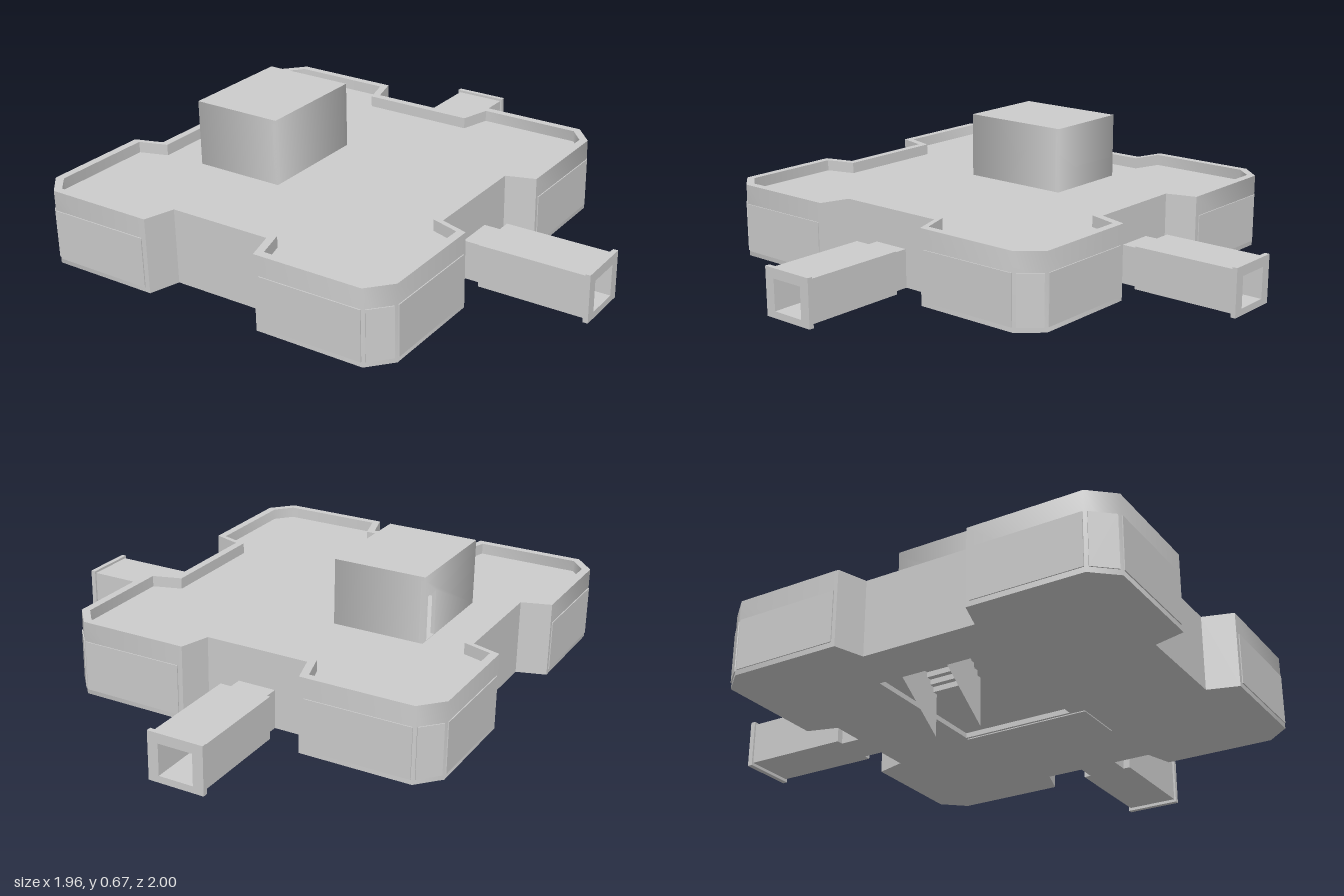
import * as THREE from 'three';
import { toCreasedNormals, mergeGeometries } from 'three/addons/utils/BufferGeometryUtils.js';

const CX = -0.21, CZ = 0.205;      // centre of the building
const HX = 0.77, HZ = 0.795;       // half width and half depth
const BASE = 0.15, TOP = 0.45, ROOF = 0.405;

const grey = new THREE.MeshStandardMaterial({ color: 0xcccccc });
const greyThin = new THREE.MeshStandardMaterial({ color: 0xcccccc, side: THREE.DoubleSide });

function add(parent, name, geometry, x = 0, y = 0, z = 0, material = grey) {
  const mesh = new THREE.Mesh(geometry, material);
  mesh.name = name;
  mesh.position.set(x, y, z);
  parent.add(mesh);
  return mesh;
}

// Box given by its limits on each axis
function block(parent, name, x0, x1, y0, y1, z0, z1) {
  return add(parent, name, new THREE.BoxGeometry(x1 - x0, y1 - y0, z1 - z0),
    (x0 + x1) / 2, (y0 + y1) / 2, (z0 + z1) / 2);
}

// Four-lobed plan with chamfered corners, mirrored from one quarter, counter-clockwise
function outline(t) {
  const k = t * 0.35;
  const quarter = [
    [HX - 0.115 - t, 0.228 + k], [HX - t, 0.265 + k], [HX - t, 0.705 - k],
    [0.69 - k, HZ - t], [0.245 + k * 2, HZ - t], [0.21 + k * 2, HZ - 0.12 - t],
  ];
  const points = [];
  for (const [sx, sy] of [[1, 1], [-1, 1], [-1, -1], [1, -1]]) {
    const part = sx * sy > 0 ? quarter : [...quarter].reverse();
    for (const [x, y] of part) points.push(new THREE.Vector2(x * sx, y * sy));
  }
  return points;
}

function rectangle(x0, x1, y0, y1) {
  return [[x0, y0], [x1, y0], [x1, y1], [x0, y1]].map(([x, y]) => new THREE.Vector2(x, y));
}

function extrude(points, holes, depth) {
  const shape = new THREE.Shape(points);
  for (const hole of holes) shape.holes.push(new THREE.Path(hole));
  return new THREE.ExtrudeGeometry(shape, { depth, bevelEnabled: false });
}

function slab(points, holes, height) {
  return extrude(points, holes, height).rotateX(-Math.PI / 2);
}

// Hollow corridor running along +z from the building wall (z = 0)
function corridor(name, length) {
  const group = new THREE.Group();
  group.name = name;
  const opening = rectangle(-0.07, 0.07, 0.165, 0.29);
  const tube = (part, w, y0, y1, z0, z1) =>
    add(group, part, extrude(rectangle(-w, w, y0, y1), [opening], z1 - z0), 0, 0, z0);
  tube('corridorNeck', 0.077, 0.15, 0.305, 0, 0.08);
  tube('corridorTube', 0.105, 0.15, 0.32, 0.08, length - 0.02);
  tube('corridorCollar', 0.113, 0.138, 0.33, length - 0.02, length);
  return group;
}

// Rooftop house with a small doorway in its -x wall and softened upright corners
function towerGeometry() {
  const hx = 0.187, hz = 0.232, h = 0.67 - ROOF, t = 0.015;
  const box = (w, hh, d, x, y, z) =>
    new THREE.BoxGeometry(w, hh, d).translate(x, y, z).toNonIndexed();
  const doorWall = extrude(rectangle(-hz, hz, 0, h - t), [rectangle(-0.2, -0.13, 0.002, 0.18)], t)
    .rotateY(-Math.PI / 2).translate(-hx + t, 0, 0);
  const geometry = mergeGeometries([
    doorWall,
    box(t, h - t, 2 * hz, hx - t / 2, (h - t) / 2, 0),
    ...[-1, 1].map((s) => box(2 * hx, h - t, t, 0, (h - t) / 2, s * (hz - t / 2))),
    box(2 * hx, t, 2 * hz, 0, h - t / 2, 0),
  ]);
  const p = geometry.attributes.position, n = geometry.attributes.normal;
  const v = new THREE.Vector3();
  for (let i = 0; i < p.count; i++) {
    const u = p.getX(i) / hx, w = p.getZ(i) / hz;
    const outside = n.getX(i) * u > 0.999 || n.getZ(i) * w > 0.999;
    if (!outside) continue;
    v.set(u, 0, w).normalize();
    n.setXYZ(i, v.x, v.y, v.z);
  }
  return geometry;
}

export function createModel() {
  const model = new THREE.Group();
  model.name = 'building';

  // Outer wall rising above the roof as a parapet
  const inner = outline(0.032);
  add(model, 'outerWall', toCreasedNormals(slab(outline(0), [inner], TOP - BASE), 1), CX, BASE, CZ);
  add(model, 'roof', slab(inner, [], 0.02), CX, ROOF - 0.02, CZ);

  // Floor with the stair opening, and a thin hatch plate beside it
  const opening = rectangle(-0.66 - CX, -0.08 - CX, -(0.36 - CZ), -(-0.1 - CZ));
  add(model, 'floor', slab(inner, [opening], 0.02), CX, BASE, CZ);
  block(model, 'hatchPlate', -0.07, 0.15, BASE - 0.004, BASE, -0.1, 0.42);

  // Shallow panels on the faces and chamfers of the four lobes
  for (const sx of [-1, 1]) for (const sz of [-1, 1]) {
    const panel = (width, x, z, turn) => {
      const mesh = add(model, 'wallPanel', new THREE.BoxGeometry(width, 0.2, 0.008),
        CX + sx * x, 0.27, CZ + sz * z);
      mesh.rotation.y = turn;
    };
    panel(0.42, 0.475, HZ, 0);
    panel(0.42, HX, 0.49, Math.PI / 2);
    panel(0.1, 0.73, 0.75, Math.atan2(0.09 * sx, 0.08 * sz));
  }

  add(model, 'roofHouse', towerGeometry(), -0.477, ROOF, 0.202);

  // Entrance corridors on the left side and at the back
  const side = corridor('sideCorridor', 0.53);
  side.rotation.y = Math.PI / 2;
  side.position.set(0.445, 0, CZ);
  const back = corridor('backCorridor', 0.53);
  back.rotation.y = Math.PI;
  back.position.set(CX, 0, -0.47);
  model.add(side, back);

  // Staircase: thin stringers reaching the ground, treads between them
  const stairs = new THREE.Group();
  stairs.name = 'staircase';
  const stringer = new THREE.ShapeGeometry(new THREE.Shape(
    [[-0.66, 0.15], [-0.44, 0], [-0.44, 0.17], [-0.64, 0.38], [-0.66, 0.38]]
      .map(([x, y]) => new THREE.Vector2(x, y))));
  for (const z of [0, 0.19]) add(stairs, 'stringer', stringer, 0, 0, z, greyThin);
  const steps = 10;
  for (let i = 0; i < steps; i++) {
    const x = -0.44 - i * 0.022, y = 0.17 + i * 0.021;
    block(stairs, 'step', x - 0.022, x, y, y + 0.021, 0, 0.19);
  }
  model.add(stairs);
  return model;
}
